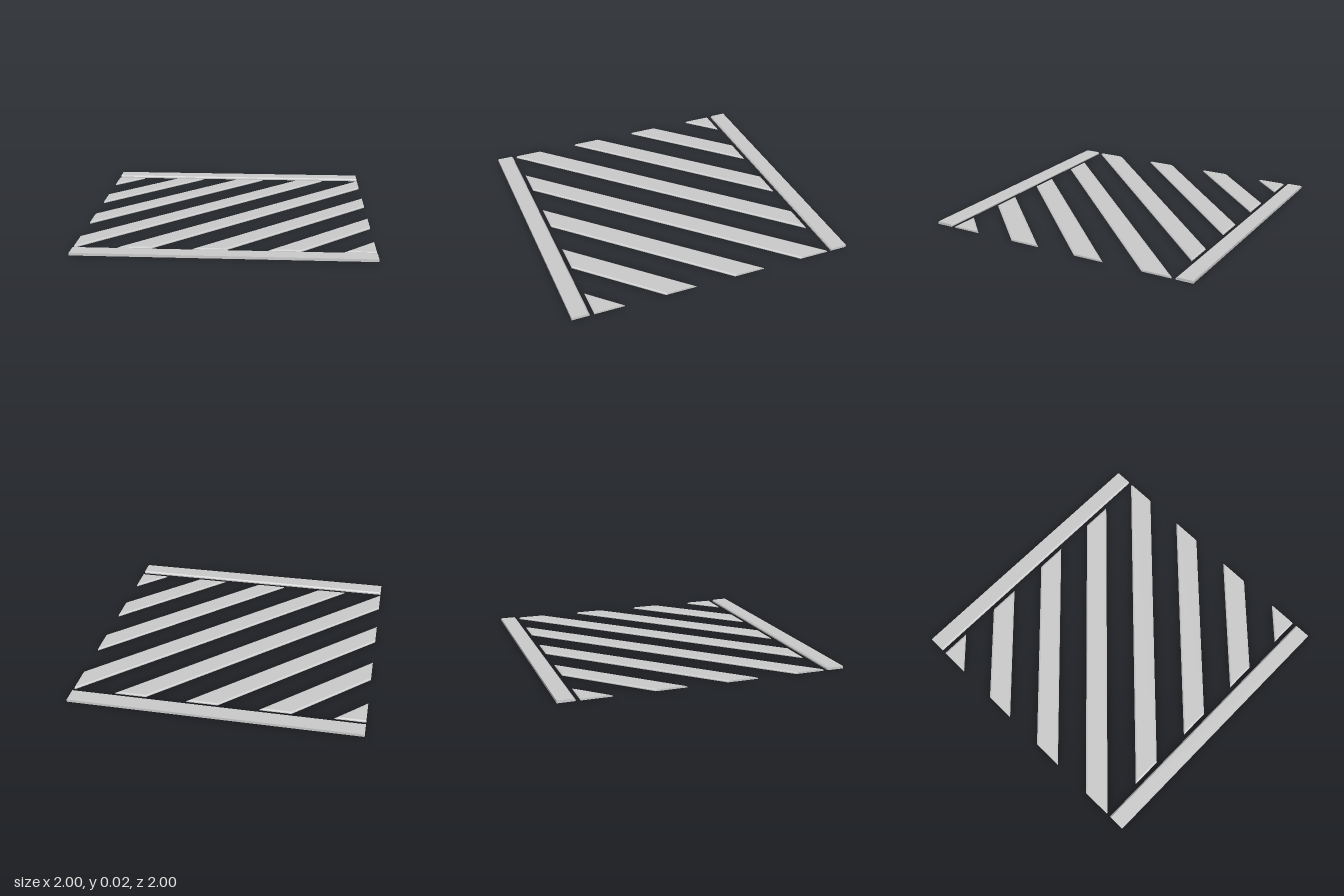
import * as THREE from 'three';
import { ConvexGeometry } from 'three/addons/geometries/ConvexGeometry.js';

const BEVEL = 0.01;

// Keeps the part of a polygon of [x, z] points where a*x + b*z <= d
function clip(polygon, [a, b, d]) {
  const result = [];
  polygon.forEach((p, i) => {
    const q = polygon[(i + 1) % polygon.length];
    const dp = a * p[0] + b * p[1] - d;
    const dq = a * q[0] + b * q[1] - d;
    if (dp <= 0) result.push(p);
    if (dp * dq < 0) {
      const t = dp / (dp - dq);
      result.push([p[0] + (q[0] - p[0]) * t, p[1] + (q[1] - p[1]) * t]);
    }
  });
  return result;
}

// Thin slab cut from the square tile; the cut edges are chamfered on top,
// the edges on the tile border stay straight
function slab(cuts, height) {
  const square = [[-1, -1], [1, -1], [1, 1], [-1, 1]];
  const outline = cuts.reduce(clip, square);
  const top = cuts
    .map(([a, b, d]) => [a, b, d - BEVEL * Math.hypot(a, b)])
    .reduce(clip, square);
  const at = (polygon, y) => polygon.map(([x, z]) => new THREE.Vector3(x, y, z));
  return new ConvexGeometry([
    ...at(outline, 0),
    ...at(outline, height * 0.5),
    ...at(top, height),
  ]);
}

export function createModel() {
  const model = new THREE.Group();
  model.name = 'stripedRoadMarking';
  const material = new THREE.MeshStandardMaterial({ color: 0xcccccc, flatShading: true });

  const add = (name, geometry) => {
    const mesh = new THREE.Mesh(geometry, material);
    mesh.name = name;
    model.add(mesh);
  };

  // Border lines at the front and back
  add('frontBorder', slab([[0, -1, -0.88]], 0.018));
  add('backBorder', slab([[0, 1, -0.88]], 0.018));

  // Eight diagonal stripes between the borders
  const halfWidth = 0.108;
  for (let i = 0; i < 8; i++) {
    const centre = -1.75 + i * 0.5;
    add(`diagonalStripe${i + 1}`, slab([
      [1, 1, centre + halfWidth],
      [-1, -1, halfWidth - centre],
      [0, 1, 0.85],
      [0, -1, 0.85],
    ], 0.012));
  }

  return model;
}
